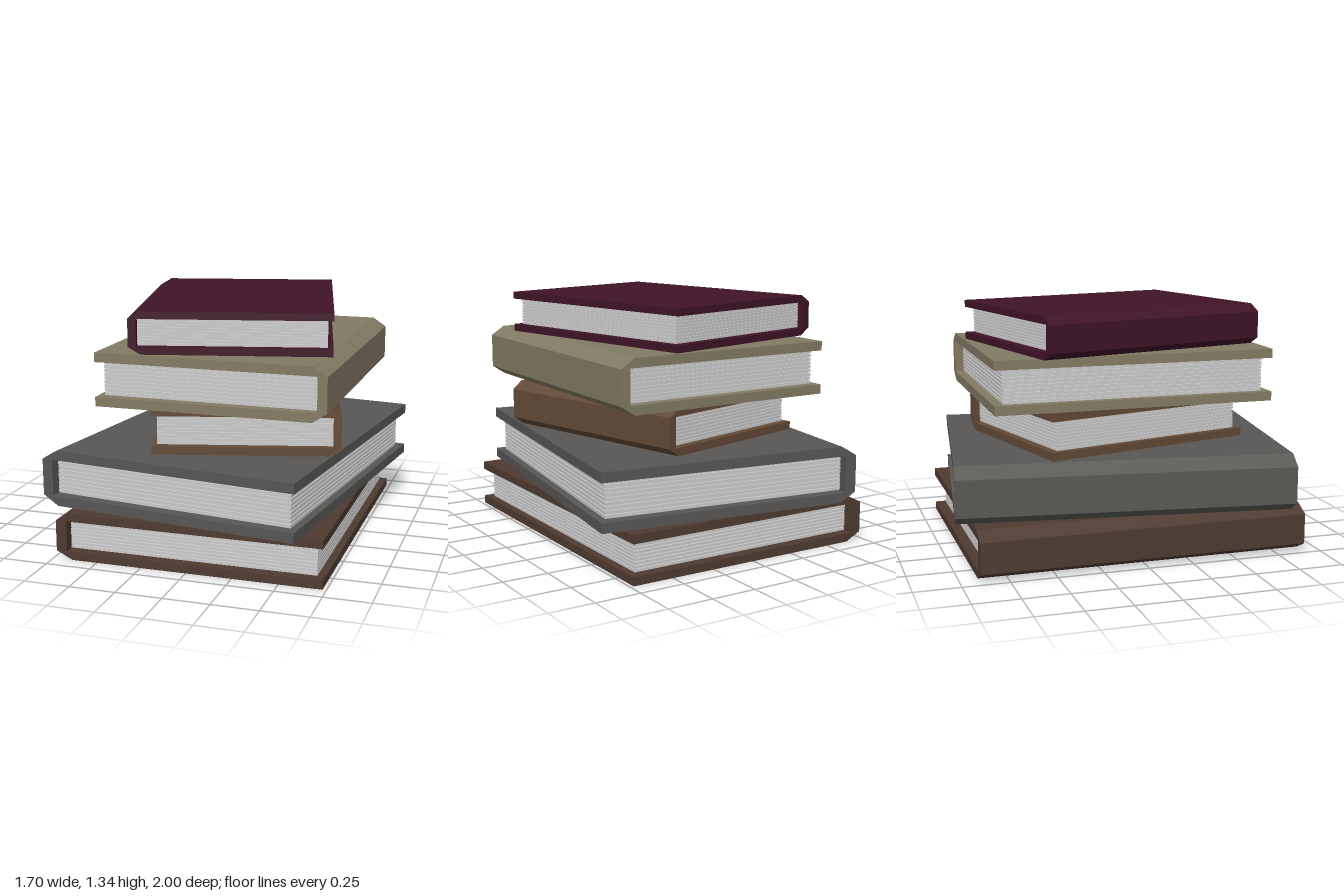
import * as THREE from 'three';

// size scales the footprint, turn is the heading; spine sits on local -x
const BOOKS = [
  { name: 'bottomBook', y: 0, h: 0.26, size: 1, x: 0, z: 0.005, turn: 0, color: 0x4e3b31 },
  { name: 'secondBook', y: 0.26, h: 0.31, size: 1.003, x: 0, z: 0, turn: -0.138, color: 0x585754 },
  { name: 'middleBook', y: 0.57, h: 0.253, size: 0.685, x: 0.078, z: 0, turn: Math.PI + 0.255, color: 0x634a37 },
  { name: 'fourthBook', y: 0.823, h: 0.287, size: 0.855, x: 0.0875, z: 0.005, turn: Math.PI - 0.005, color: 0x827b64 },
  { name: 'topBook', y: 1.11, h: 0.225, size: 0.725, x: 0.0125, z: 0.01, turn: 0.232, color: 0x3f1427 },
];
const HALF_W = 0.73, LENGTH = 1.81, BEVEL = 0.09, SPINE = 0.06;
const SHEETS = 9;

// Boards and bevelled spine as one C-shaped profile, extruded along the book
function makeCover(h, size, color) {
  const t = h * 0.175;
  const w = HALF_W * size, b = BEVEL * size, s = SPINE * size, l = LENGTH * size;
  const profile = new THREE.Shape([
    [w, 0], [w, t], [-w + s, t], [-w + s, h - t], [w, h - t],
    [w, h], [-w + b, h], [-w, h - t], [-w, t], [-w + b, 0],
  ].map(([x, y]) => new THREE.Vector2(x, y)));
  const geometry = new THREE.ExtrudeGeometry(profile, { depth: l, bevelEnabled: false });
  geometry.translate(0, 0, -l / 2);
  const cover = new THREE.Mesh(geometry, new THREE.MeshStandardMaterial({ color, flatShading: true }));
  cover.name = 'cover';
  return cover;
}

// Page block: a core with slightly wider bundles of sheets, leaving thin grooves
function makePages(h, size) {
  const pages = new THREE.Group();
  pages.name = 'pages';
  const material = new THREE.MeshStandardMaterial({ color: 0xcccccc, flatShading: true });
  const t = h * 0.175, inner = h - 2 * t, pitch = inner / SHEETS;
  const left = (-HALF_W + SPINE) * size, right = (HALF_W - 0.04) * size;
  const depth = (LENGTH - 0.115) * size, groove = 0.01 * size;

  const core = new THREE.Mesh(
    new THREE.BoxGeometry(right - left - groove, inner, depth - 2 * groove), material);
  core.position.set((left + right - groove) / 2, h / 2, 0);
  core.name = 'pageCore';
  pages.add(core);

  const bundle = new THREE.BoxGeometry(right - left, pitch * 0.78, depth);
  for (let i = 0; i < SHEETS; i++) {
    const sheet = new THREE.Mesh(bundle, material);
    sheet.position.set((left + right) / 2, t + pitch * (i + 0.5), 0);
    sheet.name = 'sheetBundle';
    pages.add(sheet);
  }
  return pages;
}

export function createModel() {
  const stack = new THREE.Group();
  stack.name = 'bookStack';
  for (const { name, y, h, size, x, z, turn, color } of BOOKS) {
    const book = new THREE.Group();
    book.name = name;
    book.add(makeCover(h, size, color), makePages(h, size));
    book.position.set(x, y, z);
    book.rotation.y = turn;
    stack.add(book);
  }
  return stack;
}
